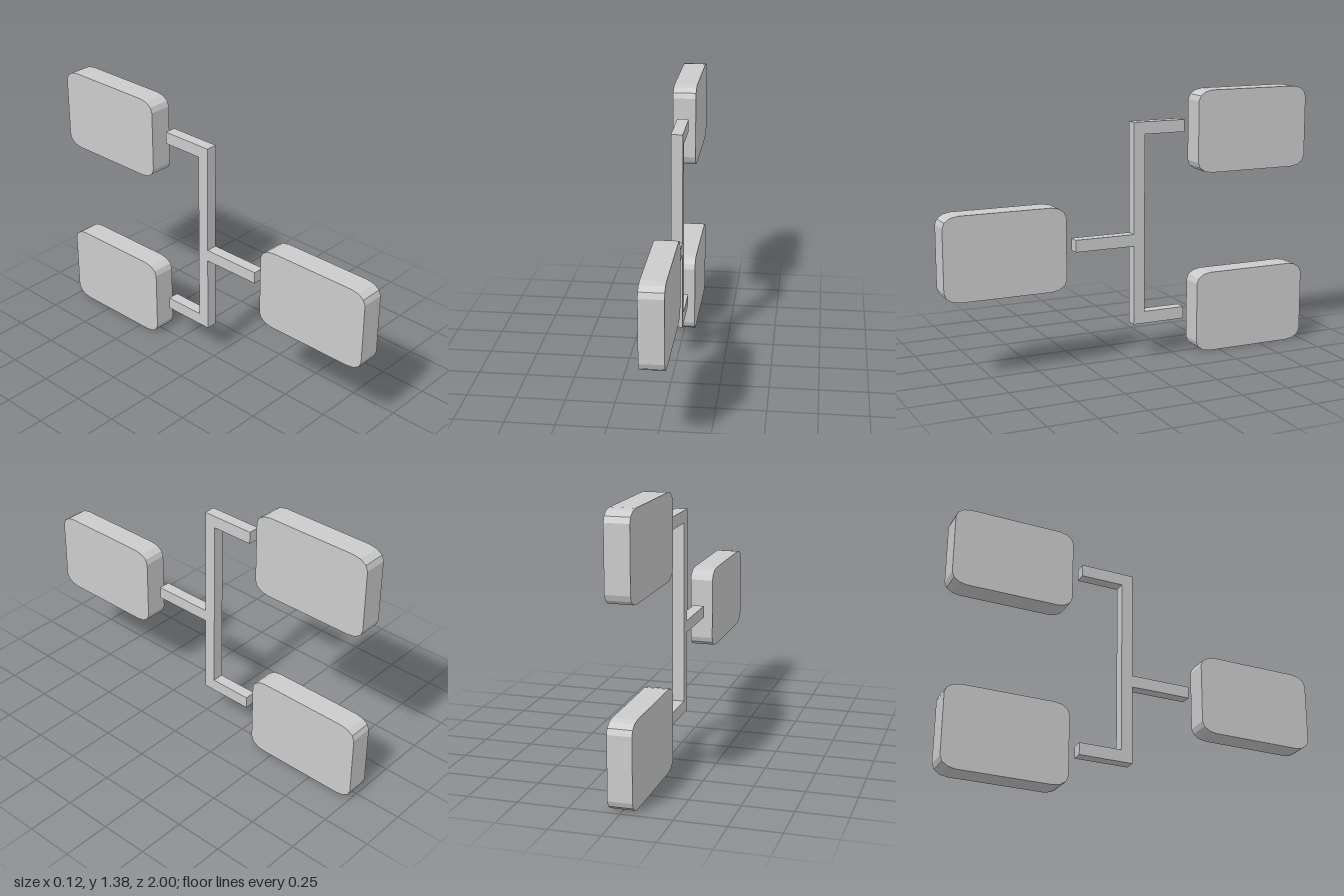
import * as THREE from 'three';

const material = new THREE.MeshStandardMaterial({ color: 0xcccccc, flatShading: true });

// Extrude an outline drawn in (z, y) across the thickness in x, centred on x = 0
function slab(name, points, thickness) {
  const shape = new THREE.Shape(points.map(([z, y]) => new THREE.Vector2(z, y)));
  const geometry = new THREE.ExtrudeGeometry(shape, { depth: thickness, bevelEnabled: false });
  geometry.translate(0, 0, -thickness / 2);
  geometry.rotateY(-Math.PI / 2);
  const mesh = new THREE.Mesh(geometry, material);
  mesh.name = name;
  return mesh;
}

// Rectangle outline whose corners are elliptical arcs of three facets
function roundedOutline(width, height, rz, ry, steps = 3) {
  const points = [];
  [[1, 1], [-1, 1], [-1, -1], [1, -1]].forEach(([sz, sy], corner) => {
    for (let i = 0; i <= steps; i++) {
      const a = (corner + i / steps) * Math.PI / 2;
      points.push([
        sz * (width / 2 - rz) + rz * Math.cos(a),
        sy * (height / 2 - ry) + ry * Math.sin(a),
      ]);
    }
  });
  return points;
}

export function createModel() {
  const group = new THREE.Group();
  group.name = 'hierarchyDiagram';

  // Three rounded plates: one in front, two behind
  const plates = [
    ['frontPlate', 0.63, 0.683],
    ['upperBackPlate', 1.168, -0.683],
    ['lowerBackPlate', 0.213, -0.683],
  ];
  for (const [name, y, z] of plates) {
    const plate = slab(name, roundedOutline(0.634, 0.426, 0.08, 0.055), 0.12);
    plate.position.set(0, y, z);
    group.add(plate);
  }

  // Forked connector: spine with two back arms and one front arm
  const front = -0.015, inner = -0.076, tip = -0.3;
  group.add(slab('connector', [
    [front, 0.187], [front, 0.6], [0.304, 0.6], [0.304, 0.662], [front, 0.662], [front, 1.235],
    [tip, 1.235], [tip, 1.172], [inner, 1.172], [inner, 0.25], [tip, 0.25], [tip, 0.187],
  ], 0.06));

  return group;
}
